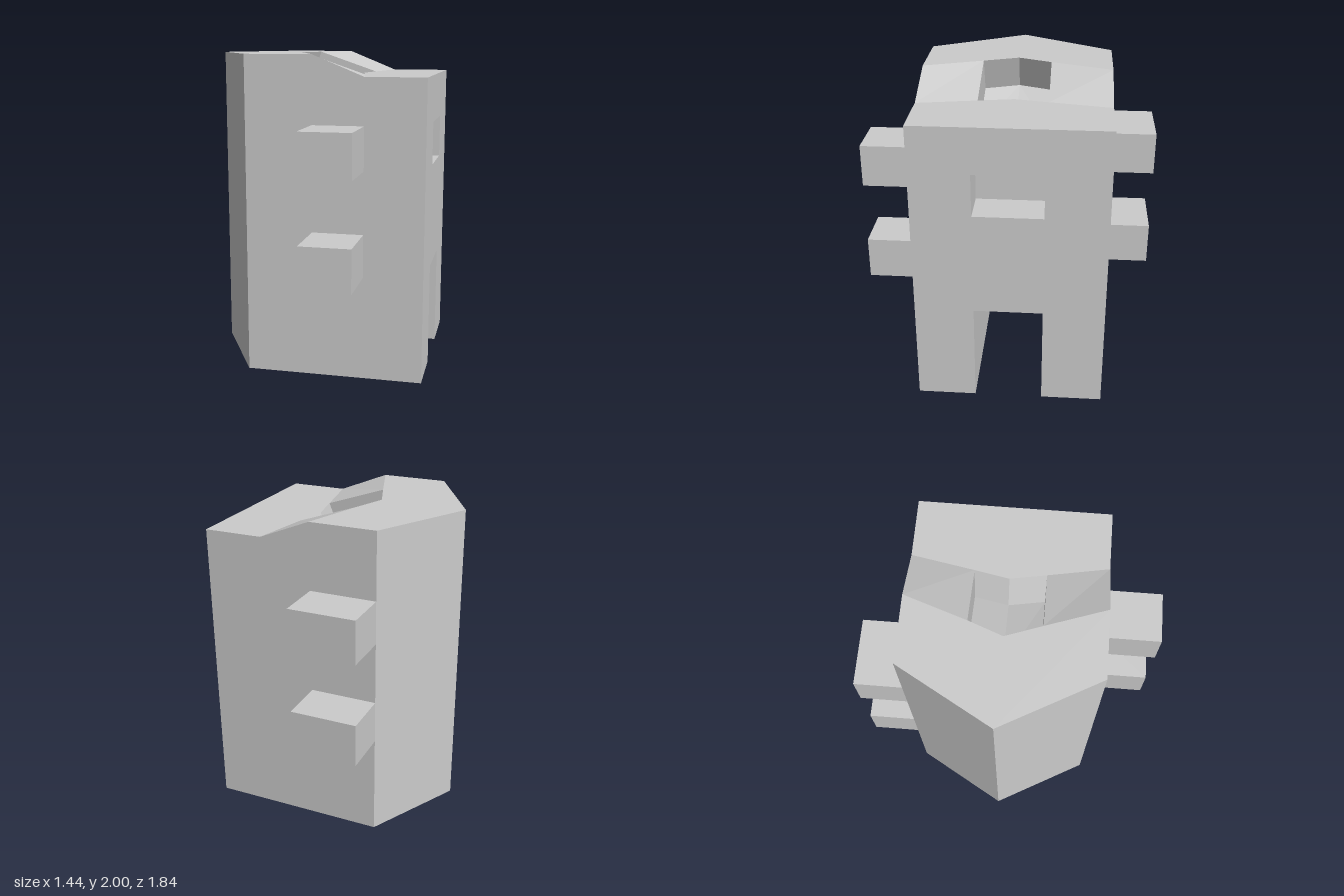
import * as THREE from 'three';

const V = (x, y, z) => new THREE.Vector3(x, y, z);
const BACK = -0.625, FRONT = 0.56, TIP = -0.04;
const TOP = 2, LOW = 1.87;

// Flat polygon (with optional holes) in space, turned to face the given normal
function panel(out, pts, normal, holes = []) {
  const a = [Math.abs(normal.x), Math.abs(normal.y), Math.abs(normal.z)];
  const drop = a.indexOf(Math.max(...a));
  const flat = (p) => drop === 0 ? new THREE.Vector2(p.z, p.y)
    : drop === 1 ? new THREE.Vector2(p.x, p.z) : new THREE.Vector2(p.x, p.y);
  const wind = (list, ccw) =>
    (THREE.ShapeUtils.area(list.map(flat)) > 0) === ccw ? list : [...list].reverse();
  const outer = wind(pts, true), inner = holes.map((h) => wind(h, false));
  const all = [...outer, ...inner.flat()];
  const tris = THREE.ShapeUtils.triangulateShape(outer.map(flat), inner.map((h) => h.map(flat)));
  for (const [i, j, k] of tris) {
    const p = all[i], q = all[j], r = all[k];
    const n = q.clone().sub(p).cross(r.clone().sub(p));
    out.push(...(n.dot(normal) > 0 ? [p, q, r] : [p, r, q]));
  }
}

// Recess: side walls swept from a rim along a depth vector, closed by an end face
function pocket(rim, depth, open = false) {
  const out = [];
  const end = rim.map((p) => p.clone().add(depth));
  const centre = rim.reduce((s, p) => s.add(p), V(0, 0, 0)).divideScalar(rim.length);
  for (let i = 0; i < rim.length - (open ? 1 : 0); i++) {
    const j = (i + 1) % rim.length;
    const n = rim[j].clone().sub(rim[i]).cross(depth);
    if (n.dot(centre.clone().sub(rim[i])) < 0) n.negate();
    panel(out, [rim[i], rim[j], end[j], end[i]], n);
  }
  panel(out, end, depth.clone().negate());
  return out;
}

export function createModel() {
  const group = new THREE.Group();
  const material = new THREE.MeshStandardMaterial({ color: 0xcccccc, flatShading: true });
  const add = (name, geometry) => {
    const mesh = new THREE.Mesh(geometry, material);
    mesh.name = name;
    group.add(mesh);
    return mesh;
  };
  const addPanels = (name, points) => {
    const g = new THREE.BufferGeometry().setFromPoints(points);
    g.computeVertexNormals();
    add(name, g);
  };

  // Recess rims
  const z0 = -0.24, z1 = 0.19, zm = -0.03, right = 0.72, doorEnd = -0.43;
  const doorRim = [V(right, 0, z0), V(right, 0.65, z0), V(right, 0.65, z1), V(right, 0, z1)];
  const windowRim = [V(right, 1.31, z0), V(right, 1.58, z0), V(right, 1.58, z1), V(right, 1.31, z1)];
  const roofRim = [
    V(-0.18, TOP, zm), V(-0.1, TOP, z0), V(0.28, LOW, z0),
    V(0.24, LOW, zm), V(0.28, LOW, z1), V(-0.1, TOP, z1),
  ];

  // Side walls: stepped front and back, pointed left end, right wall with openings
  const walls = [];
  for (const [z, s] of [[FRONT, 1], [BACK, -1]]) {
    panel(walls, [V(-0.39, 0, z), V(right, 0, z), V(right, LOW, z), V(0.35, LOW, z),
      V(0.03, TOP, z), V(-0.39, TOP, z)], V(0, 0, s));
    panel(walls, [V(-0.39, 0, z), V(-0.72, 0, TIP), V(-0.72, TOP, TIP), V(-0.39, TOP, z)],
      V(-0.87, 0, s * 0.5));
  }
  panel(walls, [V(right, 0, BACK), ...doorRim, V(right, 0, FRONT), V(right, LOW, FRONT),
    V(right, LOW, BACK)], V(1, 0, 0), [windowRim]);
  addPanels('walls', walls);

  // Underside with the door passage cut out
  const base = [];
  panel(base, [V(-0.72, 0, TIP), V(-0.39, 0, BACK), V(right, 0, BACK), V(right, 0, z0),
    V(doorEnd, 0, z0), V(doorEnd, 0, z1), V(right, 0, z1), V(right, 0, FRONT),
    V(-0.39, 0, FRONT)], V(0, -1, 0));
  addPanels('base', base);

  // Roof: high level, two sloping strips beside the recess, low level
  const roof = [], up = V(0, 1, 0);
  const [tip, hb, lb, notch, lf, hf] = roofRim;
  panel(roof, [V(-0.72, TOP, TIP), V(-0.39, TOP, BACK), V(0.03, TOP, BACK), hb, tip, hf,
    V(0.03, TOP, FRONT), V(-0.39, TOP, FRONT)], up);
  panel(roof, [V(0.03, TOP, BACK), V(0.35, LOW, BACK), lb, hb], up);
  panel(roof, [V(0.03, TOP, FRONT), V(0.35, LOW, FRONT), lf, hf], up);
  panel(roof, [V(0.35, LOW, BACK), V(right, LOW, BACK), V(right, LOW, FRONT),
    V(0.35, LOW, FRONT), lf, notch, lb], up);
  addPanels('roof', roof);

  // Recesses
  addPanels('doorPassage', pocket(doorRim, V(doorEnd - right, 0, 0), true));
  addPanels('windowRecess', pocket(windowRim, V(-0.24, 0, 0)));
  addPanels('roofRecess', pocket(roofRim, V(-0.077, -0.21, 0)));

  // Projecting blocks, two on the front and two on the back
  for (const [level, y] of [['lower', 0.785], ['upper', 1.445]]) {
    for (const [side, xa, xb, za, zb] of [
      ['Front', 0.03, 0.35, FRONT, 0.92], ['Back', -0.39, 0.03, -0.92, BACK]]) {
      add(level + side + 'Block', new THREE.BoxGeometry(xb - xa, 0.27, zb - za))
        .position.set((xa + xb) / 2, y, (za + zb) / 2);
    }
  }
  return group;
}
